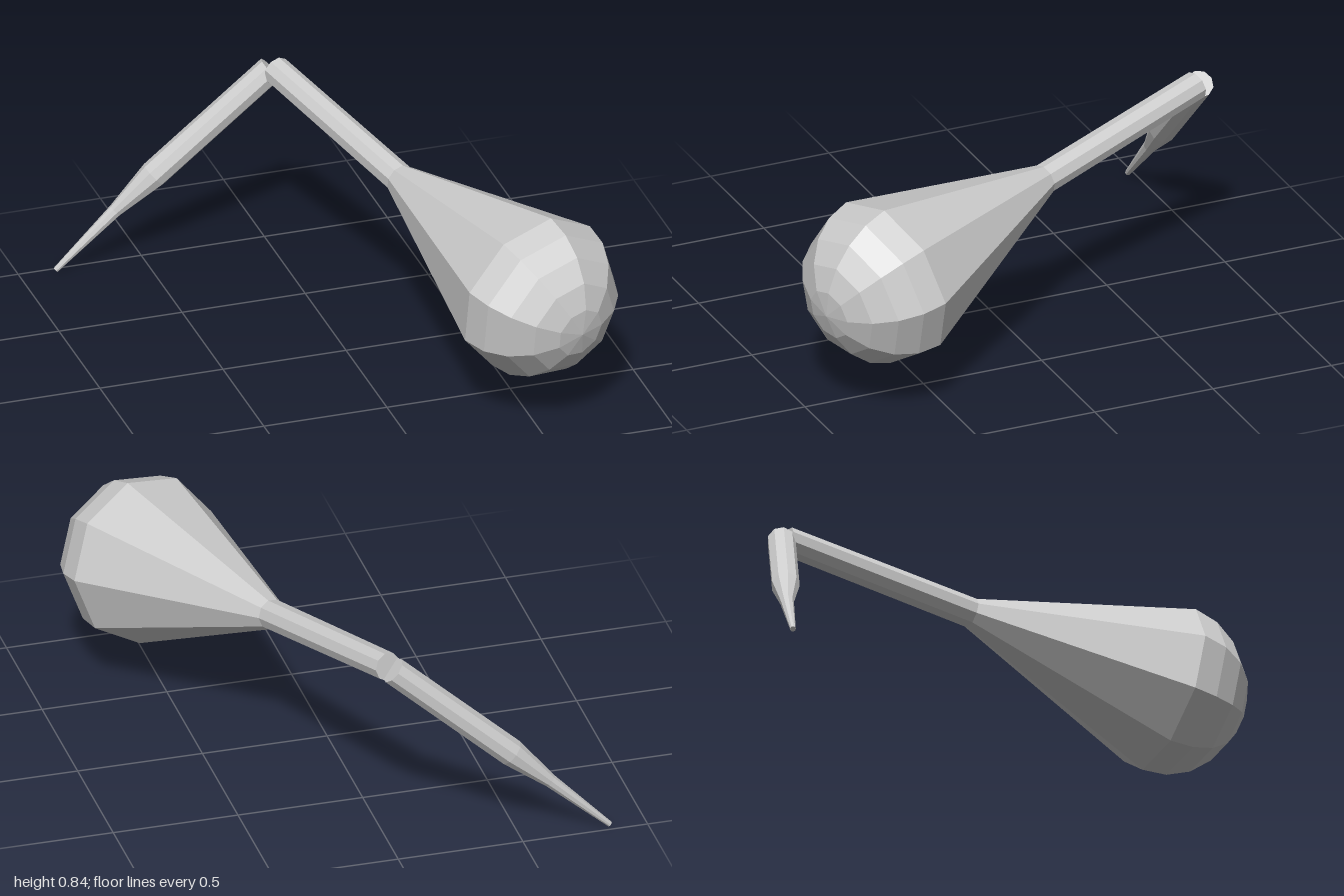
import * as THREE from 'three';

const SIDES = 9;
const material = new THREE.MeshStandardMaterial({ color: 0xcccccc, flatShading: true });

// Faceted limb: each ring is [centre, radius]; all rings lie square to one axis.
function limb(name, rings, phase) {
  const axis = rings[rings.length - 1][0].clone().sub(rings[0][0]).normalize();
  const up = new THREE.Vector3(0, 1, 0).addScaledVector(axis, -axis.y).normalize();
  const side = up.clone().cross(axis);
  const positions = [];
  const index = [];
  rings.forEach(([centre, radius], i) => {
    for (let j = 0; j < SIDES; j++) {
      const a = phase + (j / SIDES) * Math.PI * 2;
      const p = centre.clone()
        .addScaledVector(side, Math.cos(a) * radius)
        .addScaledVector(up, Math.sin(a) * radius);
      positions.push(p.x, p.y, p.z);
      if (i === 0) continue;
      const k = (j + 1) % SIDES;
      const [a0, a1] = [(i - 1) * SIDES + j, (i - 1) * SIDES + k];
      const [b0, b1] = [i * SIDES + j, i * SIDES + k];
      // Rings of zero radius close the ends with single triangles
      if (rings[i - 1][1] > 0) index.push(a0, a1, b1);
      if (radius > 0) index.push(a0, b1, b0);
    }
  });
  const indexed = new THREE.BufferGeometry();
  indexed.setAttribute('position', new THREE.Float32BufferAttribute(positions, 3));
  indexed.setIndex(index);
  const geometry = indexed.toNonIndexed();
  geometry.computeVertexNormals();
  const mesh = new THREE.Mesh(geometry, material);
  mesh.name = name;
  return mesh;
}

export function createModel() {
  const group = new THREE.Group();
  group.name = 'jointedLeg';
  const v = (x, y, z) => new THREE.Vector3(x, y, z);

  // Upper limb: slim shaft, flaring cone, then a hemispherical bulb
  const joint = v(0.005, 0.79, -0.875);
  const neck = v(0.257, 0.65, -0.12);
  const bulb = v(0.535, 0.505, 0.67);
  const bulbRadius = 0.335;
  const axis = bulb.clone().sub(joint).normalize();
  const upper = [[joint, 0], [joint, 0.057], [neck, 0.06]];
  const steps = 5;
  for (let i = 0; i <= steps; i++) {
    const a = (i / steps) * Math.PI / 2;
    const centre = bulb.clone().addScaledVector(axis, Math.sin(a) * bulbRadius * 0.97);
    upper.push([centre, i === steps ? 0 : Math.cos(a) * bulbRadius]);
  }
  group.add(limb('upperLimb', upper, THREE.MathUtils.degToRad(82)));

  // Lower limb: even shaft that tapers to a thin point
  const top = v(-0.008, 0.785, -0.897);
  const tip = v(-0.856, 0.013, -0.974);
  group.add(limb('lowerLimb', [
    [top, 0],
    [top, 0.055],
    [v(-0.467, 0.378, -0.947), 0.055],
    [v(-0.618, 0.238, -0.963), 0.027],
    [tip, 0.011],
    [tip, 0],
  ], THREE.MathUtils.degToRad(82)));

  return group;
}
